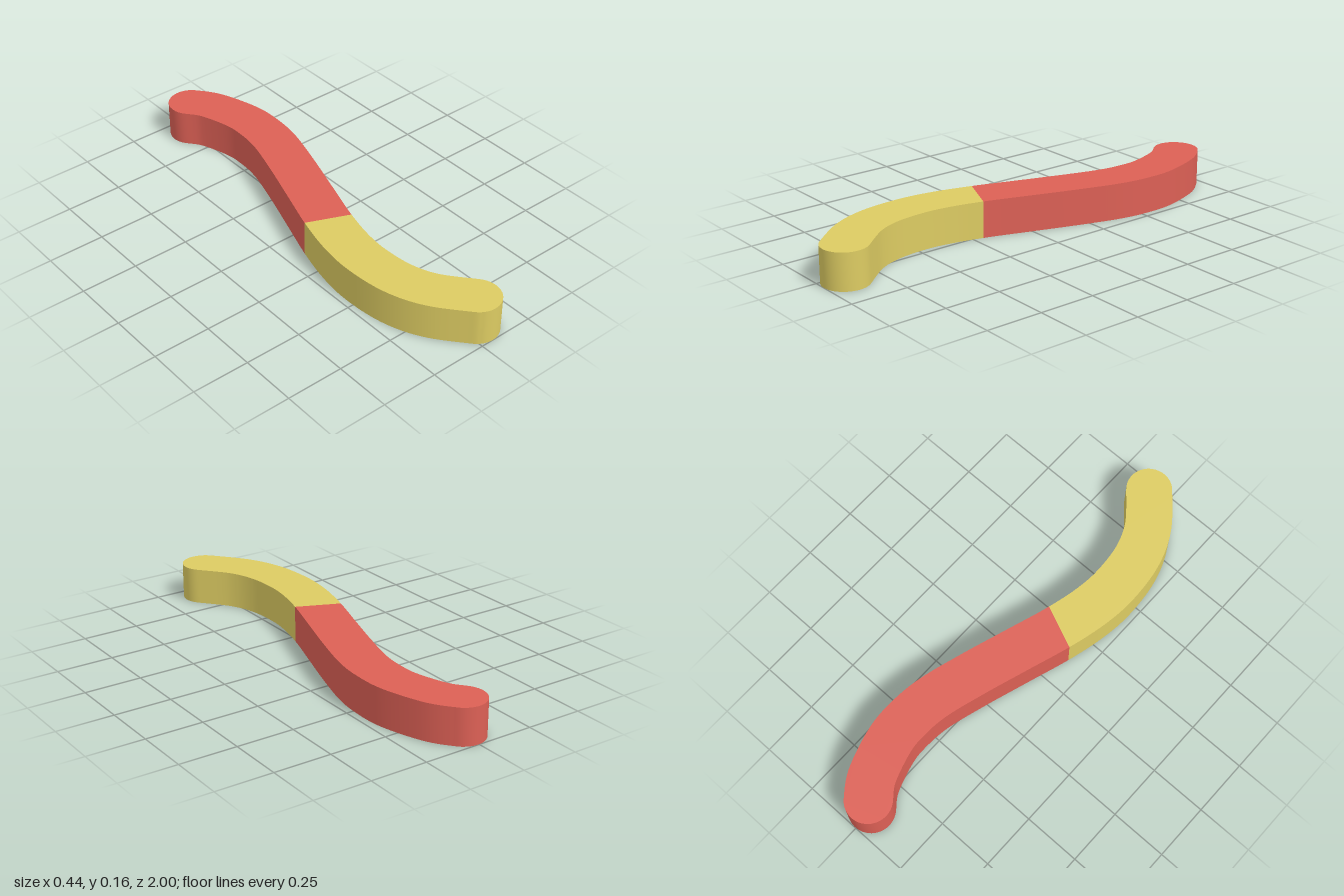
import * as THREE from 'three';
import { toCreasedNormals } from 'three/addons/utils/BufferGeometryUtils.js';

const HEIGHT = 0.16, RADIUS = 0.099, STEPS = 60;

// Centre line in plan, as (x, z), from the back end to the front end
const plan = [
  [0.005, -0.9], [0.063, -0.817], [0.113, -0.66], [0.121, -0.54], [0.106, -0.41],
  [0.055, -0.23], [-0.01, -0.03], [-0.074, 0.167], [-0.113, 0.33], [-0.125, 0.47],
  [-0.108, 0.63], [-0.053, 0.765], [0.056, 0.901],
];
const centreLine = new THREE.SplineCurve(plan.map(([x, z]) => new THREE.Vector2(x, -z)));

// Point on one edge of the band; side is +1 or -1
function edgePoint(t, side) {
  const p = centreLine.getPoint(t), d = centreLine.getTangent(t);
  return new THREE.Vector2(p.x - d.y * RADIUS * side, p.y + d.x * RADIUS * side);
}

// Half of the band: a round end at tEnd, a straight cut near tCut
function bandHalf(name, tEnd, tCut, material) {
  const skew = 0.0055; // the cut is slightly off square
  const edge = (side) => {
    const pts = [];
    for (let i = 0; i <= STEPS; i++) {
      pts.push(edgePoint(THREE.MathUtils.lerp(tEnd, tCut + side * skew, i / STEPS), side));
    }
    return pts;
  };
  const centre = centreLine.getPoint(tEnd);
  const out = centreLine.getTangent(tEnd).multiplyScalar(tEnd === 0 ? -1 : 1);
  const first = edgePoint(tEnd, 1).sub(centre);

  // Round end, swept from the +1 edge to the -1 edge
  const cap = [];
  for (let i = 1; i < 24; i++) {
    const a = (Math.PI * i) / 24;
    cap.push(centre.clone()
      .addScaledVector(first, Math.cos(a))
      .addScaledVector(out, RADIUS * Math.sin(a)));
  }
  const outline = new THREE.Shape([...edge(1).reverse(), ...cap, ...edge(-1)]);
  const solid = new THREE.ExtrudeGeometry(outline, { depth: HEIGHT, bevelEnabled: false });
  solid.rotateX(-Math.PI / 2);
  const mesh = new THREE.Mesh(toCreasedNormals(solid, Math.PI / 6), material);
  mesh.name = name;
  return mesh;
}

export function createModel() {
  const red = new THREE.MeshStandardMaterial({ color: 0xdc6055 });
  red.name = 'red';
  const yellow = new THREE.MeshStandardMaterial({ color: 0xdccb62 });
  yellow.name = 'yellow';

  const group = new THREE.Group();
  group.name = 'curvedBand';
  const tCut = 7 / (plan.length - 1);
  group.add(bandHalf('backHalf', 0, tCut, red), bandHalf('frontHalf', 1, tCut, yellow));
  return group;
}
